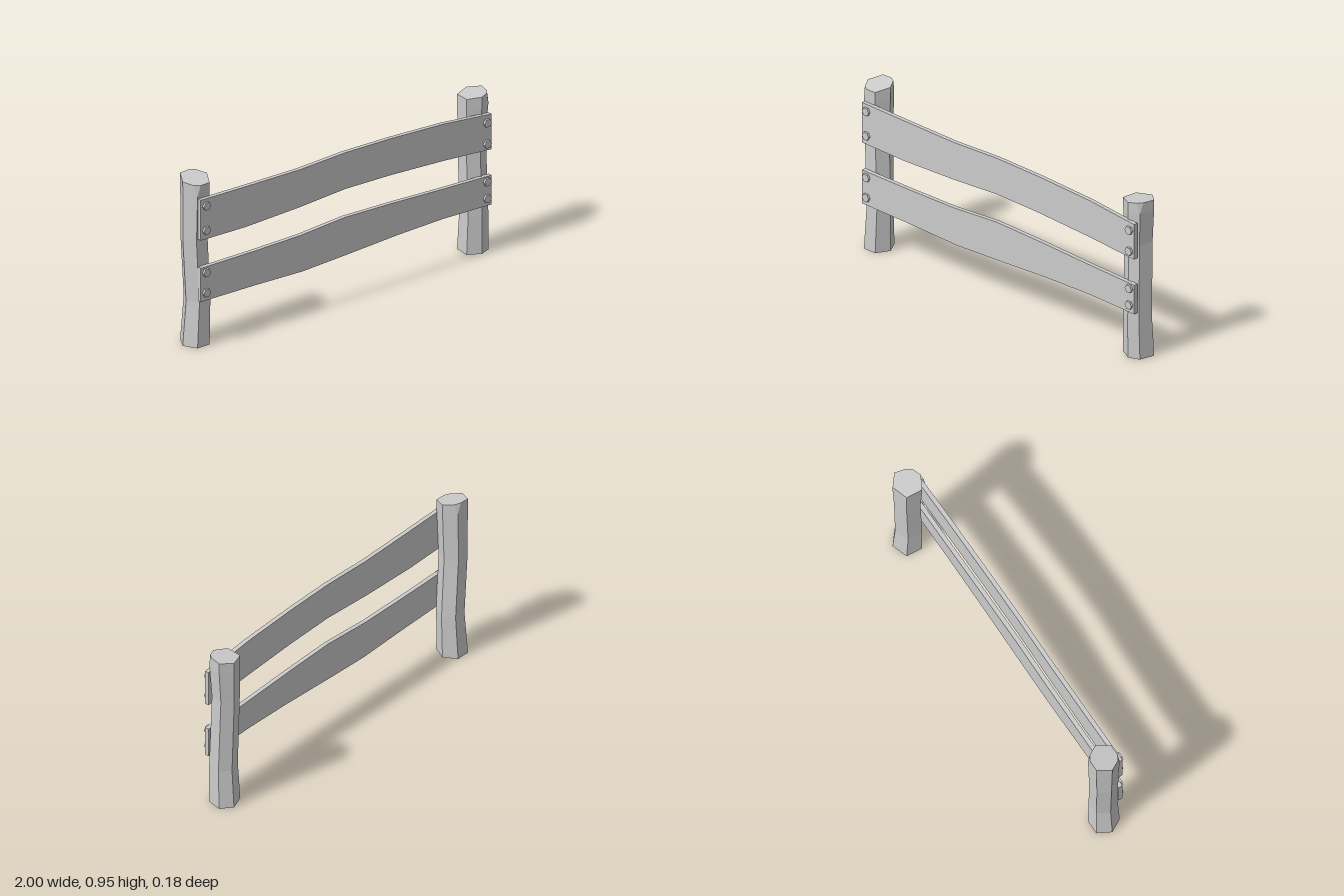
import * as THREE from 'three';

const material = new THREE.MeshStandardMaterial({ color: 0xcccccc, flatShading: true });

// Rough-hewn post: one footprint (clockwise from above) swept through levels
// [y, scale, dx, dz]; the top follows topY(x, z) and the chipped corners are cut off.
function post(name, center, footprint, levels, topY, chips) {
  const [cx, cz] = center;
  const count = footprint.length;
  const lerp = (a, b, t) => [a[0] + (b[0] - a[0]) * t, a[1] + (b[1] - a[1]) * t];

  // A chipped corner is two points that coincide everywhere but at the top.
  const outline = (split) => footprint.flatMap((p, i) => {
    if (!chips.includes(i)) return [p];
    const prev = footprint[(i + count - 1) % count], next = footprint[(i + 1) % count];
    return [lerp(p, prev, split), lerp(p, next, split)];
  });
  const ring = (pts, scale, dx, dz, yOf) => pts.map(([x, z]) => {
    const px = cx + (x - cx) * scale + dx, pz = cz + (z - cz) * scale + dz;
    return new THREE.Vector3(px, yOf(px, pz), pz);
  });
  const rings = levels.map(([y, s, dx, dz]) => ring(outline(0), s, dx, dz, () => y));
  rings.push(ring(outline(0), 0.99, 0, 0, (x, z) => topY(x, z) - 0.06));
  rings.push(ring(outline(0.25), 1, 0, 0, topY));

  const positions = [];
  const tri = (a, b, c) => {
    if (a.equals(b) || b.equals(c) || a.equals(c)) return;
    for (const p of [a, b, c]) positions.push(p.x, p.y, p.z);
  };
  const n = rings[0].length;
  const middle = (r) => r.reduce((s, p) => s.add(p), new THREE.Vector3()).divideScalar(n);
  const bottom = rings[0], top = rings[rings.length - 1];
  const bottomMid = middle(bottom), topMid = middle(top);
  for (let i = 0; i < n; i++) {
    const j = (i + 1) % n;
    for (let k = 0; k < rings.length - 1; k++) {
      const lo = rings[k], up = rings[k + 1];
      tri(lo[i], up[i], up[j]);
      tri(lo[i], up[j], lo[j]);
    }
    tri(topMid, top[j], top[i]);
    tri(bottomMid, bottom[i], bottom[j]);
  }
  const geometry = new THREE.BufferGeometry();
  geometry.setAttribute('position', new THREE.Float32BufferAttribute(positions, 3));
  geometry.computeVertexNormals();
  const mesh = new THREE.Mesh(geometry, material);
  mesh.name = name;
  return mesh;
}

// Wavy plank cut from its lower and upper edges, both listed left to right.
function plank(name, lower, upper) {
  const outline = [...lower, ...upper.slice().reverse()].map(([x, y]) => new THREE.Vector2(x, y));
  const geometry = new THREE.ExtrudeGeometry(new THREE.Shape(outline), { depth: 0.024, bevelEnabled: false });
  geometry.translate(0, 0, 0.056);
  const mesh = new THREE.Mesh(geometry, material);
  mesh.name = name;
  return mesh;
}

export function createModel() {
  const group = new THREE.Group();
  group.name = 'fence';

  // Posts
  group.add(post('rightPost', [-0.92, -0.013],
    [[-0.96, -0.085], [-0.88, -0.085], [-0.84, -0.013], [-0.88, 0.06], [-0.96, 0.06], [-1, -0.013]],
    [[0, 1, 0, 0], [0.25, 0.9, 0.012, 0.003], [0.6, 0.92, -0.003, -0.003]],
    (x, z) => 0.937 - (z + 0.013) * 0.2 + (x + 0.92) * 0.04, [1, 4]));
  group.add(post('leftPost', [0.92, -0.01],
    [[0.94, -0.09], [1, -0.04], [0.978, 0.045], [0.915, 0.069], [0.845, 0.03], [0.853, -0.06]],
    [[0, 1, 0, 0], [0.22, 0.92, 0, 0.008], [0.65, 0.9, -0.005, -0.004]],
    (x, z) => 0.89 + (x - 0.92) * 0.08 + (z + 0.01) * 0.04, [2]));

  // Planks
  group.add(plank('upperPlank',
    [[-0.955, 0.62], [-0.66, 0.612], [-0.3, 0.621], [0, 0.638], [0.3, 0.63], [0.65, 0.61], [0.97, 0.585]],
    [[-0.955, 0.85], [-0.65, 0.842], [-0.3, 0.835], [0, 0.845], [0.3, 0.838], [0.65, 0.82], [0.97, 0.786]]));
  group.add(plank('lowerPlank',
    [[-0.955, 0.27], [-0.6, 0.262], [-0.28, 0.25], [0, 0.26], [0.35, 0.275], [0.65, 0.28], [0.97, 0.27]],
    [[-0.955, 0.462], [-0.6, 0.458], [-0.3, 0.459], [0, 0.477], [0.3, 0.467], [0.65, 0.45], [0.97, 0.437]]));

  // Hexagonal bolt heads, two at each plank end
  const boltGeometry = new THREE.CylinderGeometry(0.024, 0.024, 0.014, 6);
  boltGeometry.rotateY(Math.PI / 6).rotateX(Math.PI / 2);
  const bolts = new THREE.Group();
  bolts.name = 'bolts';
  for (const [x, heights] of [[-0.92, [0.81, 0.67, 0.43, 0.315]], [0.938, [0.745, 0.625, 0.41, 0.315]]]) {
    for (const y of heights) {
      const bolt = new THREE.Mesh(boltGeometry, material);
      bolt.name = 'bolt';
      bolt.position.set(x, y, 0.086);
      bolts.add(bolt);
    }
  }
  group.add(bolts);
  return group;
}
